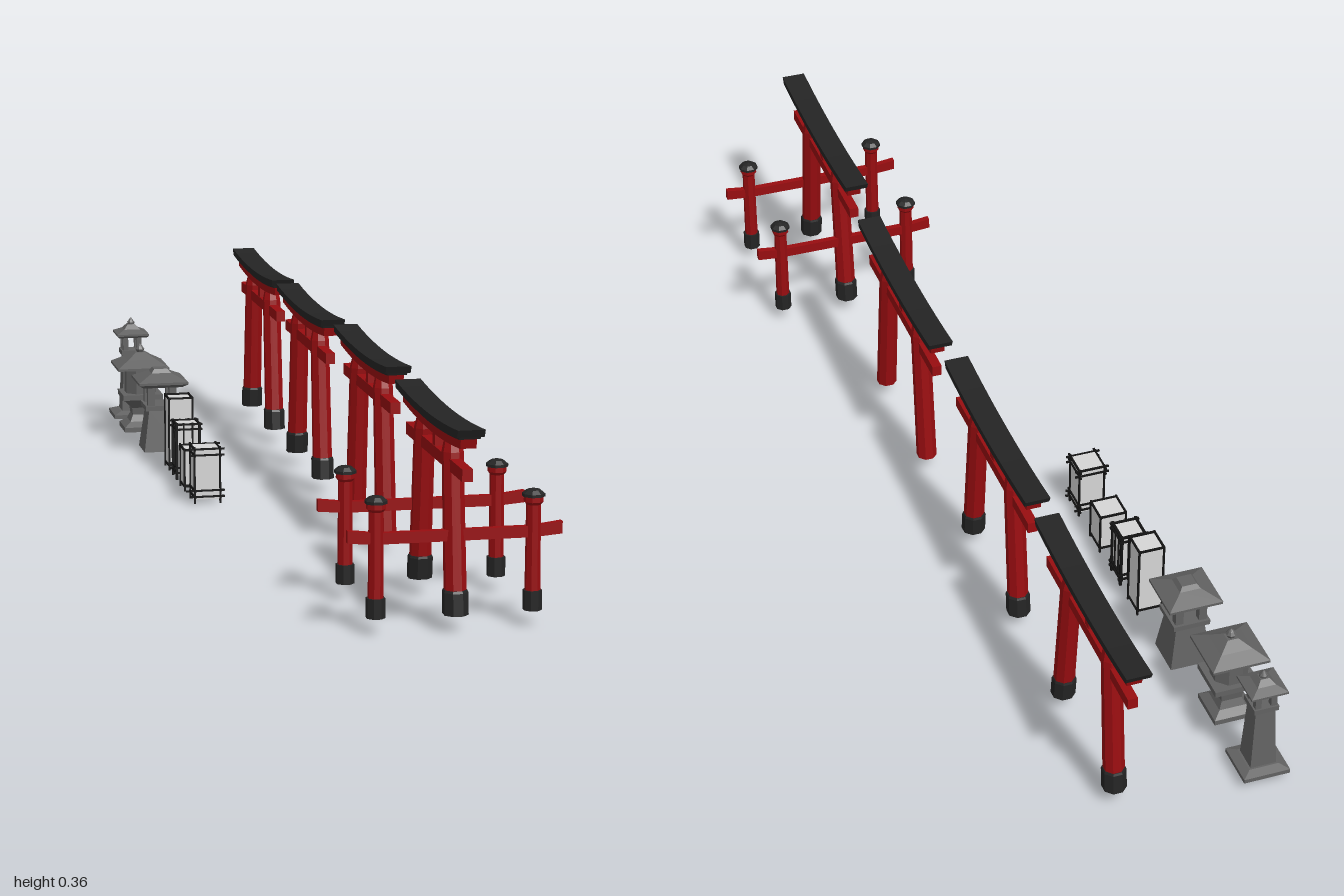
import * as THREE from 'three';

const mat = (name, color) => Object.assign(new THREE.MeshStandardMaterial({ color }), { name });

export function createModel() {
  const red = mat('vermilion paint', 0x980d10);
  const black = mat('black lacquer', 0x242424);
  const frameBlack = mat('lantern frame black', 0x121212);
  const stone = mat('stone', 0x626262);
  const paper = mat('paper', 0xd6d6d6);
  const root = new THREE.Group();

  // Faceted mesh: split corners so every face is flat
  const add = (parent, name, geo, material) => {
    const flat = geo.index ? geo.toNonIndexed() : geo;
    flat.computeVertexNormals();
    const mesh = new THREE.Mesh(flat, material);
    mesh.name = name;
    parent.add(mesh);
    return mesh;
  };
  const group = (name, x, z) => {
    const g = new THREE.Group();
    g.name = name;
    g.position.set(x, 0, z);
    root.add(g);
    return g;
  };
  const box = (w, y0, y1, d, x = 0, z = 0) =>
    new THREE.BoxGeometry(w, y1 - y0, d).translate(x, (y0 + y1) / 2, z);
  // Turned shape from [radius, y] pairs, corners set so flats face the axes
  const turned = (profile, sides) => new THREE.LatheGeometry(
    profile.map(([r, y]) => new THREE.Vector2(r, y)), sides, Math.PI / sides);
  // Square shape from [full width, y] pairs
  const square = profile => turned(profile.map(([w, y]) => [w * Math.SQRT1_2, y]), 4);

  // Beam along z, curving up to its ends
  const curvedBeam = (halfTop, halfBottom, y, thick, rise, width) => {
    const pts = [], n = 10;
    for (let i = 0; i <= n; i++) {
      const u = i / n * 2 - 1;
      pts.push(new THREE.Vector2(u * halfBottom, y + rise * u * u));
    }
    for (let i = n; i >= 0; i--) {
      const u = i / n * 2 - 1;
      pts.push(new THREE.Vector2(u * halfTop, y + thick + rise * u * u));
    }
    return new THREE.ExtrudeGeometry(new THREE.Shape(pts), { depth: width, bevelEnabled: false })
      .translate(0, 0, -width / 2).rotateY(Math.PI / 2);
  };

  // Lean a post inward as it rises
  const lean = (geo, side) => {
    const p = geo.attributes.position;
    for (let i = 0; i < p.count; i++) {
      p.setZ(i, p.getZ(i) + side * (0.127 - (p.getY(i) - 0.03) * 0.108));
    }
    return geo;
  };

  // Gates
  const makeGate = (x, z, hasBases) => {
    const g = group('gate', x, z);
    add(g, 'roof', curvedBeam(0.2235, 0.217, 0.336, 0.013, 0.011, 0.046), black);
    add(g, 'roofUnderside', curvedBeam(0.212, 0.21, 0.331, 0.005, 0.011, 0.036), black);
    add(g, 'upperBeam', curvedBeam(0.205, 0.201, 0.314, 0.017, 0.011, 0.027), red);
    add(g, 'lowerBeam', box(0.018, 0.269, 0.29, 0.396), red);
    add(g, 'centreStrut', box(0.016, 0.289, 0.316, 0.018), red);
    for (const side of [-1, 1]) {
      add(g, 'post', lean(turned([[0, 0.03], [0.0195, 0.03], [0.0185, 0.3], [0.014, 0.32], [0, 0.32]], 8), side), red);
      if (hasBases) {
        add(g, 'postBase', lean(turned([[0, 0.0295], [0.0222, 0.0295], [0.0222, 0.067], [0.0205, 0.071], [0, 0.071]], 8), side), black);
      }
    }
    return g;
  };
  makeGate(0.067, -0.777, true);
  makeGate(0.067, -0.286, true);
  makeGate(0.079, 0.213, false);
  const frontGate = makeGate(0.067, 0.777, true);

  // Cross beams and short support posts of the front gate
  const crossPts = [[-0.183, 0.157], [-0.134, 0.153], [0.134, 0.153], [0.183, 0.157],
    [0.183, 0.178], [0.134, 0.172], [-0.134, 0.172], [-0.183, 0.178]].map(p => new THREE.Vector2(...p));
  for (const side of [-1, 1]) {
    const z = side * 0.118;
    add(frontGate, 'crossBeam', new THREE.ExtrudeGeometry(new THREE.Shape(crossPts),
      { depth: 0.012, bevelEnabled: false }).translate(0, 0, z - 0.006), red);
    for (const x of [-0.134, 0.134]) {
      const post = new THREE.Group();
      post.name = 'supportPost';
      post.position.set(x, 0, z);
      frontGate.add(post);
      add(post, 'shaft', turned([[0, 0.03], [0.0135, 0.03], [0.0125, 0.208], [0.0165, 0.213], [0.0165, 0.223], [0, 0.223]], 8), red);
      add(post, 'base', turned([[0, 0.028], [0.0165, 0.028], [0.0165, 0.062], [0, 0.062]], 8), black);
      add(post, 'cap', turned([[0, 0.222], [0.0195, 0.222], [0.0195, 0.227], [0.012, 0.233], [0, 0.236]], 8), black);
    }
  }

  // Paper lanterns: paper box in a black frame
  const paperLantern = (z, w, top, { bar = 0.0035, overhang = 0, rails, midBars = false }) => {
    const g = group('paperLantern', -0.172, z);
    const h = w / 2;
    add(g, 'paperBox', box(w - 0.002, 0.008, top - 0.004, w - 0.002), paper);
    for (const sx of [-1, 1]) {
      for (const sz of [-1, 1]) {
        add(g, 'cornerPost', box(bar, 0, top, bar, sx * h, sz * h), frameBlack);
      }
      for (const y of rails) {
        add(g, 'rail', box(w + bar + overhang, y, y + 0.0035, bar, 0, sx * h), frameBlack);
        add(g, 'rail', box(bar, y, y + 0.0035, w + bar + overhang, sx * h, 0), frameBlack);
      }
      if (midBars) {
        for (const o of [-0.009, 0.009]) {
          add(g, 'slat', box(0.003, 0.01, top, 0.003, o, sx * h), frameBlack);
          add(g, 'slat', box(0.003, 0.01, top, 0.003, sx * h, o), frameBlack);
        }
      }
    }
  };
  paperLantern(-0.132, 0.05, 0.112, { overhang: 0.014, rails: [0.012, 0.024, 0.094, 0.106] });
  paperLantern(-0.246, 0.051, 0.086, { rails: [0.008, 0.081] });
  paperLantern(-0.351, 0.046, 0.115, { bar: 0.005, overhang: 0.006, rails: [0.012, 0.022, 0.1, 0.11], midBars: true });
  paperLantern(-0.44, 0.048, 0.15, { rails: [0.008, 0.146] });

  // Four corner pillars of an open fire chamber
  const chamber = (g, w, bar, y0, y1) => {
    const o = (w - bar) / 2;
    for (const sx of [-1, 1]) for (const sz of [-1, 1]) {
      add(g, 'chamberPillar', box(bar, y0, y1, bar, sx * o, sz * o), stone);
    }
  };

  // Squat stone lantern with a tapered pedestal
  const squat = group('squatStoneLantern', -0.185, -0.597);
  add(squat, 'pedestal', square([[0, 0.008], [0.078, 0.008], [0.054, 0.095], [0, 0.095]]), stone);
  add(squat, 'platform', box(0.07, 0.094, 0.104, 0.07), stone);
  chamber(squat, 0.06, 0.015, 0.103, 0.145);
  add(squat, 'roof', square([[0, 0.143], [0.08, 0.143], [0.102, 0.15], [0.102, 0.155], [0.04, 0.17], [0.028, 0.178], [0, 0.178]]), stone);

  // Waisted stone lantern with a broad pyramid roof
  const waisted = group('waistedStoneLantern', -0.2, -0.767);
  add(waisted, 'foot', square([[0, 0.016], [0.078, 0.016], [0.078, 0.026], [0.05, 0.036], [0.038, 0.05],
    [0.042, 0.065], [0.074, 0.082], [0.084, 0.085], [0.084, 0.096], [0, 0.096]]), stone);
  add(waisted, 'fireBox', turned([[0, 0.095], [0.034, 0.095], [0.034, 0.152], [0, 0.152]], 8), stone);
  add(waisted, 'roof', square([[0, 0.15], [0.108, 0.15], [0.108, 0.155], [0.06, 0.169], [0.02, 0.182], [0, 0.182]]), stone);
  add(waisted, 'finial', turned([[0, 0.18], [0.006, 0.18], [0.01, 0.188], [0.006, 0.194], [0, 0.2]], 8), stone);

  // Slender stone lantern on a pillar
  const slender = group('slenderStoneLantern', -0.196, -0.917);
  add(slender, 'basePlate', square([[0, 0.016], [0.086, 0.016], [0.086, 0.024], [0.055, 0.03], [0, 0.03]]), stone);
  add(slender, 'pillar', square([[0, 0.028], [0.048, 0.028], [0.036, 0.152], [0, 0.152]]), stone);
  add(slender, 'platform', box(0.046, 0.151, 0.161, 0.046), stone);
  chamber(slender, 0.04, 0.011, 0.16, 0.194);
  add(slender, 'roof', square([[0, 0.19], [0.06, 0.19], [0.068, 0.194], [0.068, 0.198], [0.034, 0.206], [0.016, 0.216], [0, 0.216]]), stone);
  add(slender, 'finial', turned([[0, 0.214], [0.007, 0.214], [0.008, 0.22], [0, 0.231]], 8), stone);

  return root;
}
